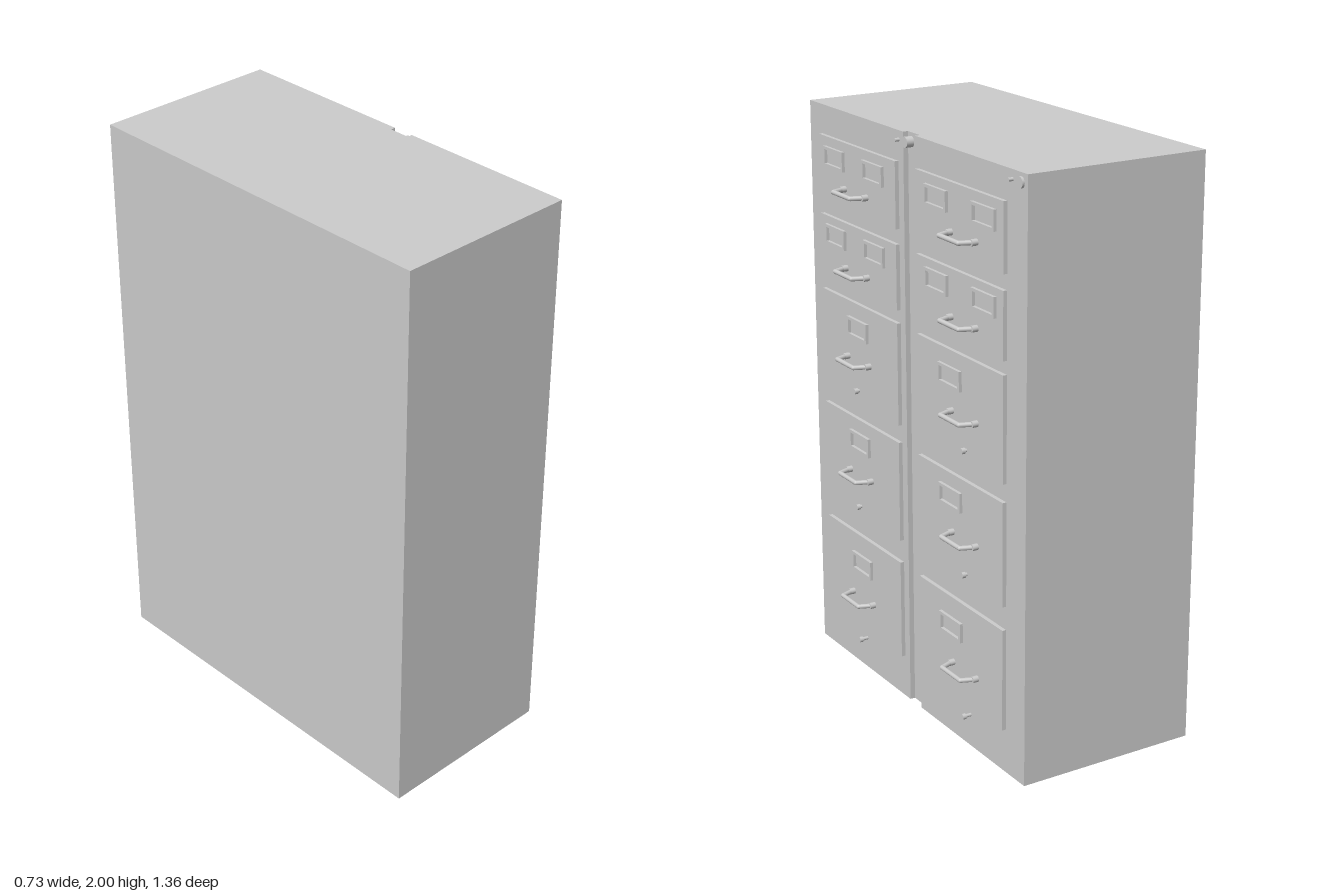
import * as THREE from 'three';

const material = new THREE.MeshStandardMaterial({ color: 0xcccccc });
const BODY_X = 0.283, FACE_X = 0.297;

function add(parent, geometry, name) {
  const mesh = new THREE.Mesh(geometry, material);
  mesh.name = name;
  parent.add(mesh);
  return mesh;
}

// Round bar between two points
function rod(parent, a, b, r, name, sides = 12) {
  const dir = b.clone().sub(a);
  const mesh = add(parent, new THREE.CylinderGeometry(r, r, dir.length(), sides), name);
  mesh.position.copy(a).add(b).multiplyScalar(0.5);
  mesh.quaternion.setFromUnitVectors(new THREE.Vector3(0, 1, 0), dir.normalize());
  return mesh;
}

// Round stud pointing out of the drawer side (+x)
function stud(parent, x0, x1, y, z, r, name) {
  return rod(parent, new THREE.Vector3(x0, y, z), new THREE.Vector3(x1, y, z), r, name, 16);
}

// Rectangular label frame with an open window
function labelFrame(parent, y, z) {
  const rect = (path, w, h) => path.moveTo(-w, -h).lineTo(w, -h).lineTo(w, h).lineTo(-w, h).closePath();
  const shape = rect(new THREE.Shape(), 0.067, 0.034);
  shape.holes.push(rect(new THREE.Path(), 0.056, 0.024));
  const geometry = new THREE.ExtrudeGeometry(shape, { depth: 0.011, bevelEnabled: false });
  geometry.rotateY(Math.PI / 2);
  add(parent, geometry, 'labelFrame').position.set(FACE_X, y, z);
}

// Bent bar pull: two feet, two slanted legs and a straight grip
function handle(parent, y, z) {
  const group = new THREE.Group();
  group.name = 'handle';
  group.position.set(0, y, z);
  const p = (x, dz) => new THREE.Vector3(x, 0, dz);
  const r = 0.008;
  const path = [p(0.308, 0.074), p(0.352, 0.057), p(0.352, -0.057), p(0.308, -0.074)];
  for (let i = 0; i < 3; i++) rod(group, path[i], path[i + 1], r, i === 1 ? 'grip' : 'handleLeg');
  for (const corner of [path[1], path[2]])
    add(group, new THREE.SphereGeometry(r, 12, 8), 'handleCorner').position.copy(corner);
  for (const dz of [0.074, -0.074]) stud(group, FACE_X - 0.002, 0.318, 0, dz, 0.011, 'handleFoot');
  parent.add(group);
}

export function createModel() {
  const model = new THREE.Group();
  model.name = 'filingCabinet';

  // Cabinet body: plan outline with a vertical groove, extruded upward
  const plan = new THREE.Shape([
    [-0.365, -0.68], [BODY_X, -0.68], [BODY_X, -0.045], [0.265, -0.045],
    [0.265, 0.03], [BODY_X, 0.03], [BODY_X, 0.68], [-0.365, 0.68],
  ].map(([x, y]) => new THREE.Vector2(x, y)));
  const body = new THREE.ExtrudeGeometry(plan, { depth: 2, bevelEnabled: false });
  body.rotateX(-Math.PI / 2);
  add(model, body, 'cabinetBody');

  const columns = [
    { z: 0.336, pair: [0.482, 0.217], single: 0.34, handle: 0.34, knob: 0.348 },
    { z: -0.311, pair: [-0.184, -0.465], single: -0.262, handle: -0.345, knob: -0.354 },
  ];
  const rows = [
    { y0: 1.676, y1: 1.9, label: 1.834, handle: 1.743 },
    { y0: 1.403, y1: 1.625, label: 1.564, handle: 1.47 },
    { y0: 1.003, y1: 1.358, label: 1.271, handle: 1.159, knob: 1.05 },
    { y0: 0.588, y1: 0.942, label: 0.861, handle: 0.743, knob: 0.623 },
    { y0: 0.154, y1: 0.507, label: 0.403, handle: 0.277, knob: 0.114 },
  ];

  // Drawers: two shallow above three deep ones in each column
  for (const col of columns) {
    for (const row of rows) {
      const drawer = new THREE.Group();
      drawer.name = 'drawer';
      model.add(drawer);
      add(drawer, new THREE.BoxGeometry(FACE_X - BODY_X + 0.005, row.y1 - row.y0, 0.518), 'drawerFront')
        .position.set((FACE_X + BODY_X - 0.005) / 2, (row.y0 + row.y1) / 2, col.z);
      for (const z of row.knob ? [col.single] : col.pair) labelFrame(drawer, row.label, z);
      handle(drawer, row.handle, col.handle);
      if (row.knob) {
        stud(drawer, BODY_X - 0.005, 0.306, row.knob, col.knob, 0.006, 'knobStem');
        stud(drawer, 0.304, 0.317, row.knob, col.knob, 0.01, 'knob');
      }
    }
  }

  // Locks and release buttons along the top edge
  stud(model, 0.26, 0.291, 1.97, 0.024, 0.018, 'lock');
  stud(model, 0.275, 0.291, 1.97, -0.645, 0.018, 'lock');
  for (const z of [0.073, -0.597]) stud(model, 0.275, 0.299, 1.97, z, 0.006, 'releaseButton');

  return model;
}
